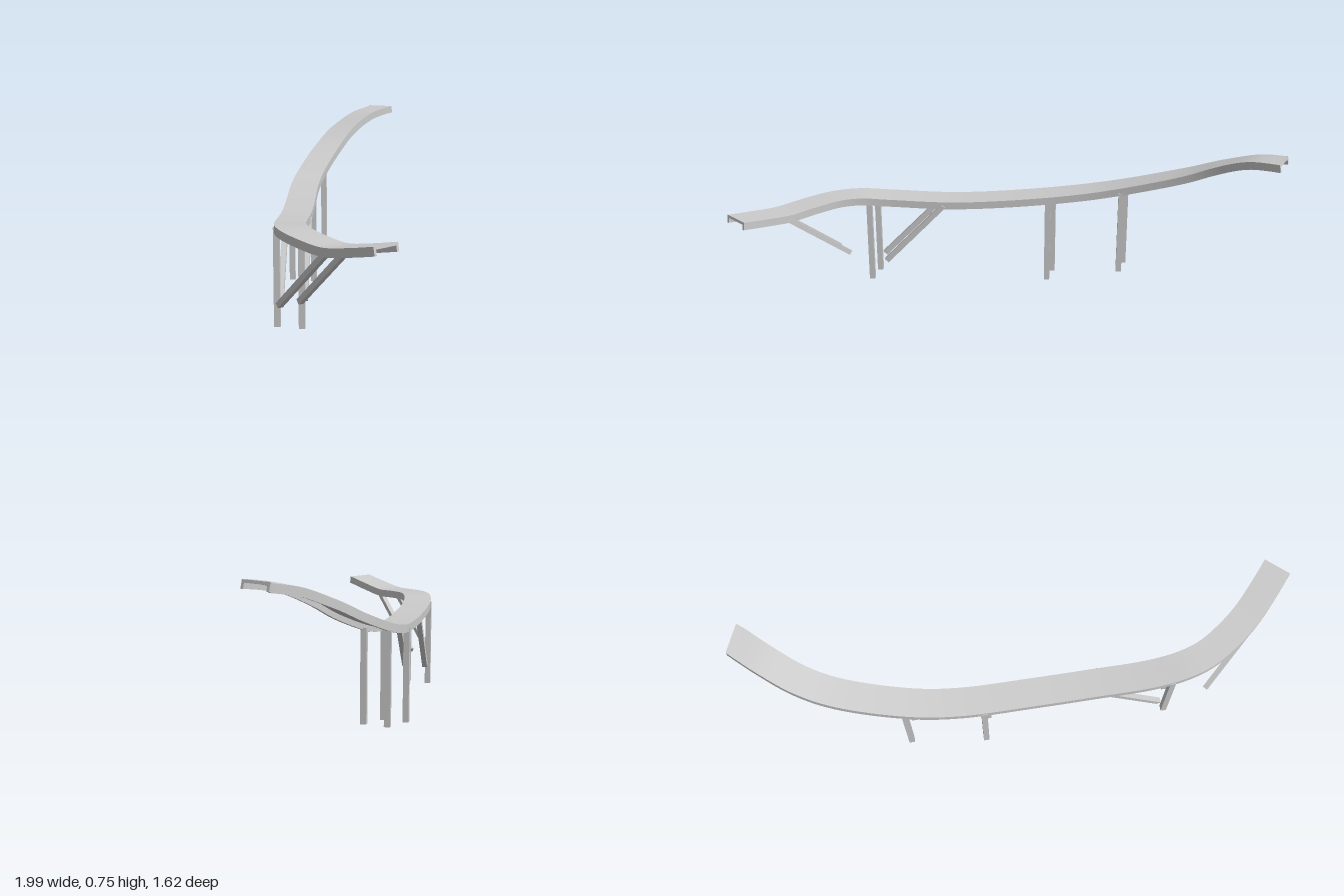
import * as THREE from 'three';

const material = new THREE.MeshStandardMaterial({ color: 0xcccccc });
const UP = new THREE.Vector3(0, 1, 0);

// Centre line of the running surface: x, y, z
const path = new THREE.CatmullRomCurve3([
  [-0.94, 0.755, -0.78], [-0.915, 0.725, -0.63], [-0.87, 0.66, -0.47], [-0.795, 0.592, -0.33],
  [-0.6, 0.497, -0.085], [-0.45, 0.456, 0.06], [-0.2, 0.423, 0.26], [0, 0.41, 0.42],
  [0.22, 0.417, 0.6], [0.345, 0.428, 0.68], [0.45, 0.428, 0.72], [0.58, 0.42, 0.737],
  [0.72, 0.413, 0.737], [0.85, 0.43, 0.722], [0.975, 0.452, 0.702],
].map(p => new THREE.Vector3(...p)));

// Deck section: a plate with a skirt down each side, open below
const W = 0.065, D = -0.035, T = 0.012;
const section = [[-W, 0], [-W, D], [-W + T, D], [-W + T, -T], [W - T, -T], [W - T, D], [W, D], [W, 0]]
  .map(p => new THREE.Vector2(...p));

function buildDeck(steps = 100) {
  const pos = [], index = [], rings = [];
  for (let i = 0; i <= steps; i++) {
    const t = path.getPointAt(i / steps), tangent = path.getTangentAt(i / steps);
    const right = new THREE.Vector3().crossVectors(tangent, UP).normalize();
    const up = new THREE.Vector3().crossVectors(right, tangent);
    // the upper end is cut slightly askew
    if (i === 0) right.set(-0.89, 0, 0.45).normalize();
    rings.push(section.map(p => t.clone().addScaledVector(right, p.x).addScaledVector(up, p.y)));
  }
  // the section's right side must point to the travel direction's right along the whole run
  const first = rings[0], second = rings[1];
  if (first[0].distanceTo(second[0]) > W) {
    for (let j = 0; j < 4; j++) [first[j], first[7 - j]] = [first[7 - j], first[j]];
  }
  // one strip per section edge: smooth lengthwise, sharp across
  section.forEach((_, j) => {
    const k = (j + 1) % section.length, base = pos.length / 3;
    rings.forEach((ring, i) => {
      pos.push(...ring[j].toArray(), ...ring[k].toArray());
      if (i === steps) return;
      const a = base + i * 2, b = a + 1, c = a + 2, d = a + 3;
      index.push(a, c, b, b, c, d);
    });
  });
  // end caps
  const tris = THREE.ShapeUtils.triangulateShape(section, []);
  [0, steps].forEach(i => {
    const base = pos.length / 3;
    rings[i].forEach(p => pos.push(...p.toArray()));
    tris.forEach(([a, b, c]) => index.push(base + a, base + (i ? c : b), base + (i ? b : c)));
  });
  const geo = new THREE.BufferGeometry();
  geo.setAttribute('position', new THREE.Float32BufferAttribute(pos, 3));
  geo.setIndex(index);
  geo.computeVertexNormals();
  return geo;
}

// Square bar between two points, one face kept parallel to the heading
function bar(name, from, to, size, heading) {
  const a = new THREE.Vector3(...from), b = new THREE.Vector3(...to);
  const y = b.clone().sub(a), length = y.length();
  y.normalize();
  const x = new THREE.Vector3().crossVectors(y, heading).normalize();
  const z = new THREE.Vector3().crossVectors(x, y);
  const mesh = new THREE.Mesh(new THREE.BoxGeometry(size, length, size), material);
  mesh.quaternion.setFromRotationMatrix(new THREE.Matrix4().makeBasis(x, y, z));
  mesh.position.copy(a).add(b).multiplyScalar(0.5);
  mesh.name = name;
  return mesh;
}

export function createModel() {
  const group = new THREE.Group();

  const deck = new THREE.Mesh(buildDeck(), material);
  deck.name = 'curvedDeck';
  group.add(deck);

  // Pairs of upright posts across the deck: centre x, z, foot and head heights
  const heading = new THREE.Vector3(0.77, 0, 0.64);
  [[-0.62, -0.108, 0.075, 0.48], [-0.372, 0.13, 0.01, 0.43], [0.29, 0.655, 0, 0.41]].forEach(([x, z, low, high], i) => {
    for (const s of [-1, 1]) {
      const px = x + s * 0.042, pz = z - s * 0.032;
      group.add(bar(`post${i + 1}${s < 0 ? 'Outer' : 'Inner'}`, [px, low, pz], [px, high, pz], 0.026, heading));
    }
  });

  // Pairs of sloping struts beneath the two skirts
  const side = new THREE.Vector3(0.64, 0, -0.77);
  group.add(
    bar('middleStrutOuter', [0.232, 0.095, 0.66], [0.008, 0.39, 0.48], 0.024, side),
    bar('middleStrutInner', [0.278, 0.1, 0.572], [0.062, 0.39, 0.396], 0.024, side),
    bar('endStrutOuter', [0.415, 0.135, 0.788], [0.735, 0.395, 0.788], 0.023, new THREE.Vector3(0, 0, 1)),
    bar('endStrutInner', [0.415, 0.135, 0.69], [0.735, 0.395, 0.69], 0.023, new THREE.Vector3(0, 0, 1)),
  );
  return group;
}
